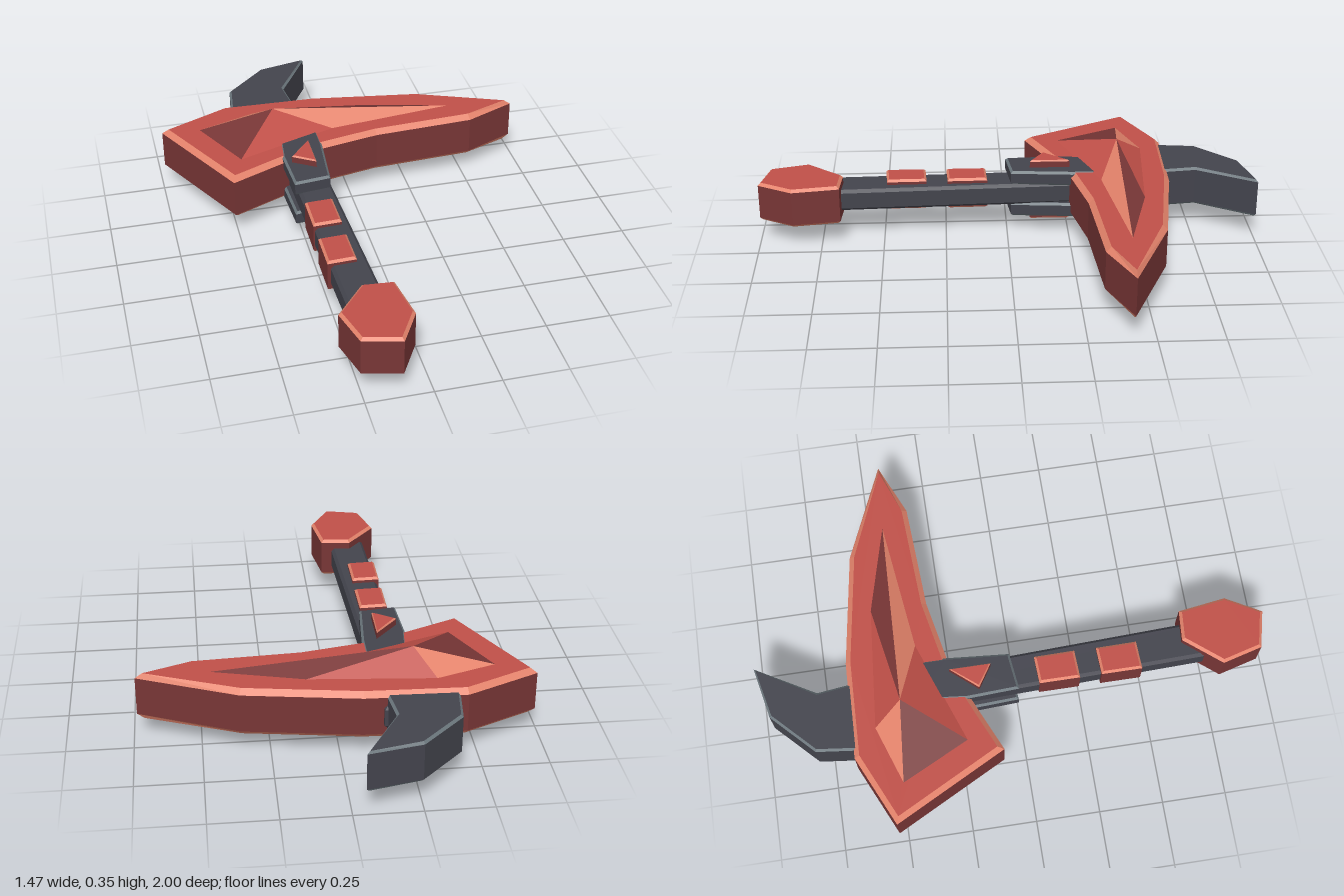
import * as THREE from 'three';

const MID = 0.175; // height of the horizontal symmetry plane

export function createModel() {
  const group = new THREE.Group();
  const paint = (name, color) => {
    const material = new THREE.MeshStandardMaterial({ color });
    material.name = name;
    return material;
  };
  const red = paint('red', 0xc05048);
  const darkRed = paint('dark red', 0x783636);
  const salmon = paint('salmon edge', 0xe4836b);
  const dark = paint('dark grey', 0x43444d);
  const grey = paint('grey edge', 0x6b767c);

  // Materials of a slab: flat faces, chamfers, walls
  const redSet = [red, salmon, darkRed];
  const darkSet = [dark, grey, dark];

  const add = (name, geometry, material) => {
    const mesh = new THREE.Mesh(geometry, material);
    mesh.name = name;
    group.add(mesh);
  };

  // Chamfered slab: outline in (x, z), between heights y0 and y1
  const slab = (name, outline, y0, y1, bevel, materials) => {
    const shape = new THREE.Shape(outline.map(([x, z]) => new THREE.Vector2(x, z)));
    const geometry = new THREE.ExtrudeGeometry(shape, {
      depth: y1 - y0 - 2 * bevel, bevelEnabled: true, bevelSegments: 1,
      bevelThickness: bevel, bevelSize: bevel, bevelOffset: -bevel,
    });
    geometry.rotateX(Math.PI / 2);
    geometry.translate(0, y1 - bevel, 0);
    // Colour each triangle by its slope
    geometry.clearGroups();
    const normal = geometry.attributes.normal;
    for (let i = 0; i < normal.count; i += 3) {
      const slope = Math.abs(normal.getY(i));
      geometry.addGroup(i, 3, slope > 0.98 ? 0 : slope > 0.1 ? 1 : 2);
    }
    add(name, geometry, materials);
  };

  // Blade head
  slab('head', [[-0.737, -0.53], [-0.46, -0.657], [-0.08, -0.647], [0.36, -0.58], [0.735, -0.42],
    [0.53, -0.33], [0.12, -0.305], [-0.15, -0.25], [-0.51, -0.09]], 0.079, 0.271, 0.02, redSet);

  // Faceted peaks on both faces of the head, one colour per facet
  const base = [
    [-0.59, -0.485, 1], [-0.36, -0.565, 0], [0.12, -0.525, 2],
    [0.47, -0.435, 1], [-0.05, -0.37, 0], [-0.46, -0.22, 2],
  ];
  for (const side of [1, -1]) {
    const apex = [-0.285, MID + side * 0.173, -0.455];
    const points = [];
    const geometry = new THREE.BufferGeometry();
    base.forEach(([x, z, colour], i) => {
      const [nx, nz] = base[(i + 1) % base.length];
      const a = [x, MID + side * 0.095, z], b = [nx, MID + side * 0.095, nz];
      points.push(...apex, ...(side > 0 ? [...b, ...a] : [...a, ...b]));
      geometry.addGroup(i * 3, 3, colour);
    });
    geometry.setAttribute('position', new THREE.Float32BufferAttribute(points, 3));
    geometry.computeVertexNormals();
    add(side > 0 ? 'upperPeak' : 'lowerPeak', geometry, redSet);
  }

  // Hooked spike behind the head
  slab('spike', [[-0.047, -1.002], [-0.25, -0.96], [-0.412, -0.8], [-0.435, -0.6], [-0.16, -0.6], [-0.18, -0.77]],
    0.097, 0.258, 0.009, darkSet);

  // Shaft, slightly tilted, running through the head
  slab('handle', [[-0.285, -0.66], [-0.155, -0.665], [-0.1, 0.75], [-0.245, 0.755]], 0.13, 0.22, 0.012, dark);

  // Collar plates above and below the shaft
  const collar = [[-0.275, -0.4], [-0.12, -0.4], [-0.12, -0.26], [-0.14, -0.015], [-0.285, 0.002], [-0.295, -0.2]];
  slab('upperCollar', collar, 0.215, 0.274, 0.009, darkSet);
  slab('lowerCollar', collar, 0.076, 0.135, 0.009, darkSet);

  // Triangular studs through the collar
  slab('triangleStud', [[-0.267, -0.15], [-0.178, -0.255], [-0.178, -0.093]], 0.045, 0.305, 0.006, redSet);

  // Grip pads
  for (const z of [0.08, 0.325]) {
    slab('gripPad', [[-0.265, z + 0.005], [-0.155, z], [-0.153, z + 0.16], [-0.265, z + 0.165]],
      0.11, 0.24, 0.009, redSet);
  }

  // Pommel
  slab('pommel', [[-0.18, 0.662], [-0.06, 0.672], [-0.033, 0.86], [-0.11, 0.997], [-0.255, 0.962], [-0.297, 0.805]],
    0.095, 0.258, 0.011, redSet);

  return group;
}
